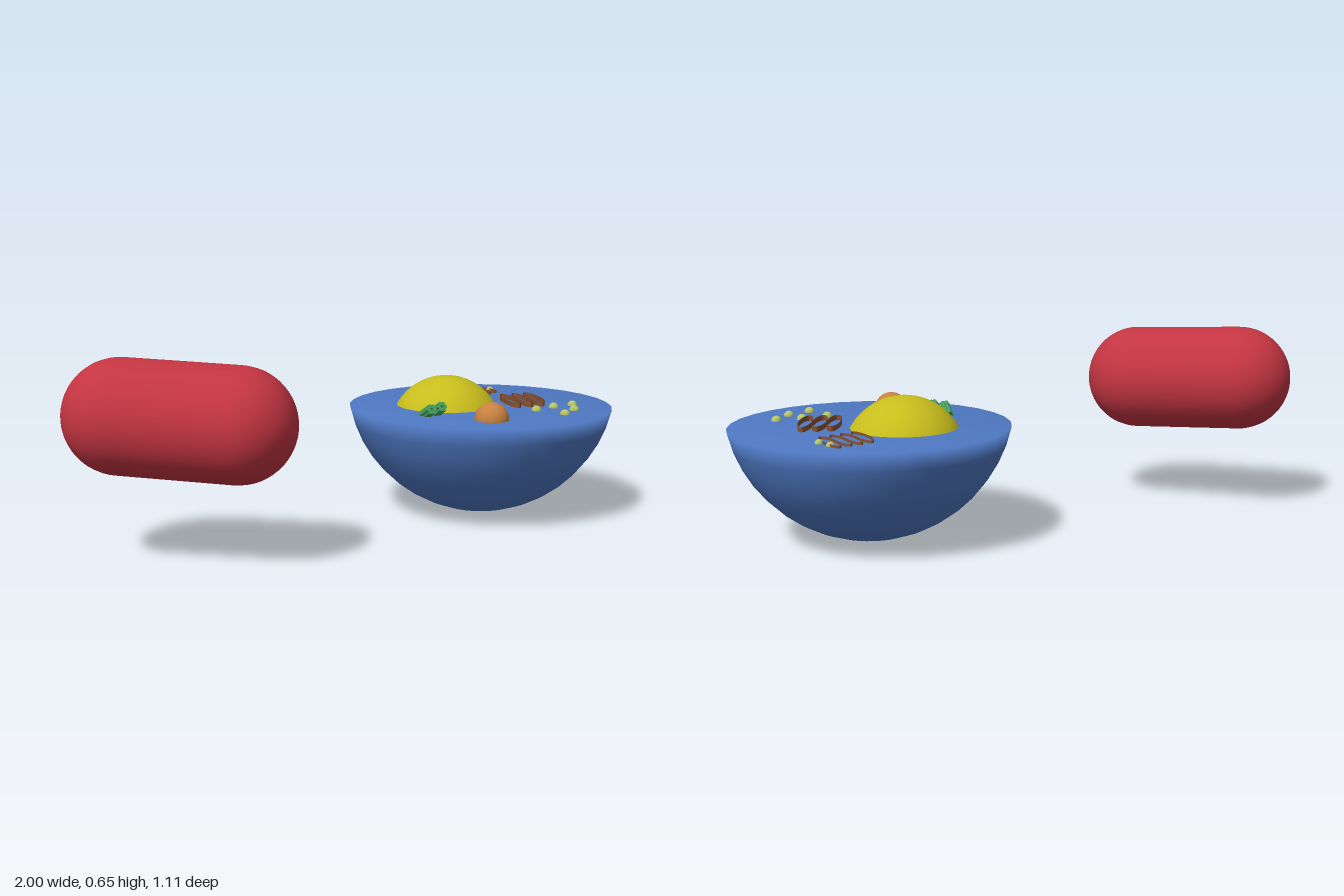
import * as THREE from 'three';

const RIM = 0.385; // height of the flat cut face
const mat = (color, side = THREE.FrontSide) => new THREE.MeshStandardMaterial({ color, side });

const RED = mat(0xc43542);
const BLUE = mat(0x4f79c4);
const YELLOW = mat(0xc8bd1c);
const ORANGE = mat(0xc78240);
const BROWN = mat(0x8a5230, THREE.DoubleSide);
const GREEN = mat(0x48a060);
const LIME = mat(0xb4c46a);

function add(parent, name, geometry, material, x = 0, y = 0, z = 0) {
  const mesh = new THREE.Mesh(geometry, material);
  mesh.name = name;
  mesh.position.set(x, y, z);
  parent.add(mesh);
  return mesh;
}

// Rounded rod lying between two end-ball centres
function makeRod() {
  const a = new THREE.Vector3(-0.815, 0.471, 0.188);
  const b = new THREE.Vector3(-0.485, 0.455, 0.37);
  const axis = b.clone().sub(a);
  const rod = new THREE.Mesh(new THREE.CapsuleGeometry(0.185, axis.length(), 14, 40), RED);
  rod.name = 'rodCell';
  rod.position.copy(a).add(b).multiplyScalar(0.5);
  rod.quaternion.setFromUnitVectors(new THREE.Vector3(0, 1, 0), axis.normalize());
  return rod;
}

// Lower part of a sphere, closed by a flat face with a softly shaded rim
function makeBody() {
  const R = 0.481, depth = 0.381, steps = 10;
  const end = Math.acos((R - depth) / R);
  const profile = [];
  for (let i = 0; i <= steps; i++) {
    const t = (end * i) / steps;
    profile.push(new THREE.Vector2(R * Math.sin(t), RIM - depth + R * (1 - Math.cos(t))));
  }
  profile.push(new THREE.Vector2(0, RIM));
  return new THREE.LatheGeometry(profile, 32);
}

// Row of open, upright oval bands
function makeBands(name, count, x, z, step, length, width, height, turn) {
  const group = new THREE.Group();
  group.name = name;
  group.position.set(x, RIM + height / 2, z);
  const band = new THREE.CylinderGeometry(1, 1, height, 28, 1, true);
  for (let i = 0; i < count; i++) {
    const k = i - (count - 1) / 2;
    const mesh = add(group, 'ovalBand', band, BROWN, step[0] * k, 0, step[1] * k);
    mesh.scale.set(width / 2, 1, length / 2);
    mesh.rotation.y = turn;
  }
  return group;
}

// Ring of thin rods forming one small bundle
function makeBundle(x, y, z, tilt) {
  const group = new THREE.Group();
  group.name = 'rodBundle';
  const rod = new THREE.CylinderGeometry(0.0075, 0.0075, 0.062, 10);
  for (let i = 0; i < 6; i++) {
    const t = (i / 6) * Math.PI * 2;
    add(group, 'thinRod', rod, GREEN, 0.012 * Math.cos(t), 0, 0.012 * Math.sin(t));
  }
  group.position.set(x, y, z);
  group.rotation.set(tilt, 0, -0.15);
  return group;
}

export function createModel() {
  const model = new THREE.Group();
  model.name = 'cells';
  model.add(makeRod());

  const cell = new THREE.Group();
  cell.name = 'cutCell';
  model.add(cell);
  add(cell, 'cellBody', makeBody(), BLUE, 0.53, 0, -0.09);
  add(cell, 'nucleus', new THREE.SphereGeometry(0.205, 36, 24), YELLOW, 0.42, 0.285, -0.14);
  add(cell, 'vacuole', new THREE.SphereGeometry(0.059, 24, 16), ORANGE, 0.445, 0.387, 0.198);

  // Folded membranes
  cell.add(makeBands('largeBands', 3, 0.695, -0.083, [0.047, 0], 0.205, 0.045, 0.018, -0.13));
  cell.add(makeBands('smallBands', 4, 0.615, -0.35, [0.034, -0.022], 0.165, 0.042, 0.009, 0.35));

  // Paired rod bundles
  cell.add(makeBundle(0.263, 0.4, 0.068, 1.05));
  cell.add(makeBundle(0.303, 0.405, 0.065, 1.0));

  // Small granules: x, z, radius
  const granules = [
    [0.67, 0.085, 0.018], [0.755, 0.05, 0.018], [0.84, 0.03, 0.018],
    [0.8, 0.12, 0.018], [0.73, 0.185, 0.018],
    [0.665, -0.42, 0.014], [0.7, -0.375, 0.014],
  ];
  for (const [x, z, r] of granules) {
    add(cell, 'granule', new THREE.SphereGeometry(r, 14, 10), LIME, x, RIM, z);
  }
  return model;
}
